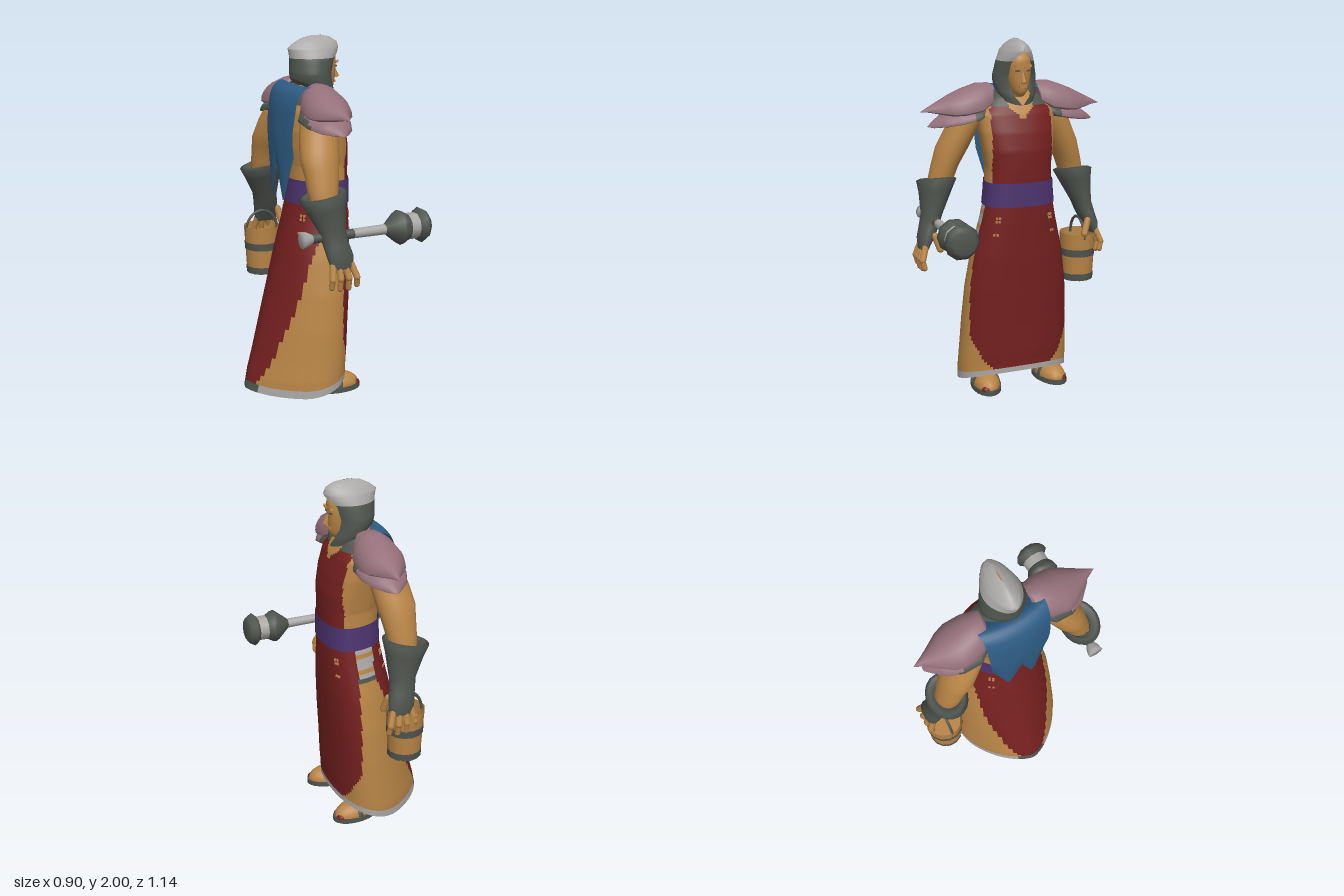
import * as THREE from 'three';

const flat = (name, color) =>
  new THREE.MeshStandardMaterial({ name, color, side: THREE.DoubleSide });

export function createModel() {
  const M = {
    skin: flat('tan', 0xb98546), red: flat('deep red', 0x74201f), dark: flat('dark grey', 0x50554f),
    light: flat('light grey', 0xaaa8a6), purple: flat('purple', 0x4d3470),
    blue: flat('blue', 0x2e5d85), mauve: flat('mauve', 0x94707a),
  };
  const model = new THREE.Group();
  model.name = 'hoodedSmith';

  const add = (parent, name, geo, mat, x = 0, y = 0, z = 0) => {
    const m = new THREE.Mesh(geo, mat);
    m.name = name;
    m.position.set(x, y, z);
    parent.add(m);
    return m;
  };

  const spow = (v, p) => Math.sign(v) * Math.abs(v) ** p;

  // Point on a cross-section [height, front, back, halfWidth, centreZ, openAngle]
  const ringPoint = (s, t, o) => {
    const [y, f, b, w, cz = 0] = s;
    const c = f + (b - f) * (o.mid ?? 0.5);
    const cos = Math.cos(t), p = cos > 0 ? o.pf ?? 1 : o.pb ? o.pb(y) : 1;
    const x = c + spow(cos, p) * (cos > 0 ? f - c : c - b);
    let z = w * spow(Math.sin(t), p);
    if (o.under && z > 0) z *= o.under;
    return [x, y + (o.lift ? o.lift(x, y) : 0), cz + z];
  };
  const sectionAt = (secs, y) => {
    const i = Math.max(1, secs.findIndex(s => s[0] >= y));
    const a = secs[i - 1], b = secs[i], k = (y - a[0]) / (b[0] - a[0]);
    return a.map((v, j) => v + (b[j] - v) * k);
  };

  // Smooth skin over stacked cross-sections; pick(x, y, z) chooses each cell's colour
  const shell = (parent, name, secs, mats, o = {}) => {
    const n = o.n ?? 20, sub = o.sub ?? 1, rows = [];
    secs.forEach((s, i) => {
      if (!i) return rows.push(s);
      for (let k = 1; k <= sub; k++) rows.push(s.map((v, j) => secs[i - 1][j] + (v - secs[i - 1][j]) * k / sub));
    });
    const cols = o.open ? n + 1 : n, pos = [];
    for (const s of rows) for (let j = 0; j < cols; j++) {
      const a = o.open ? s[5] : 0;
      pos.push(...ringPoint(s, a + (j / n) * (2 * Math.PI - 2 * a), o));
    }
    const list = [].concat(mats), faces = list.map(() => []);
    for (let i = 0; i + 1 < rows.length; i++) for (let j = 0; j < n; j++) {
      const k = (j + 1) % cols, a = i * cols + j, b = i * cols + k, c = a + cols, d = b + cols;
      const mean = q => (pos[a * 3 + q] + pos[b * 3 + q] + pos[c * 3 + q] + pos[d * 3 + q]) / 4;
      const m = o.pick ? o.pick(mean(0), mean(1), mean(2), i / sub) : 0;
      faces[m].push(a, c, b, b, c, d);
    }
    const g = new THREE.BufferGeometry();
    g.setAttribute('position', new THREE.Float32BufferAttribute(pos, 3));
    g.setIndex(faces.flat());
    let start = 0;
    faces.forEach((f, m) => { if (f.length) g.addGroup(start, f.length, m); start += f.length; });
    g.computeVertexNormals();
    return add(parent, name, g, list.length > 1 ? list : list[0]);
  };

  const rod = (parent, name, a, b, r, mat) => {
    const A = new THREE.Vector3(...a), B = new THREE.Vector3(...b), d = B.clone().sub(A);
    const m = add(parent, name, new THREE.CapsuleGeometry(r, d.length(), 3, 8), mat);
    m.position.copy(A).add(B).multiplyScalar(0.5);
    m.quaternion.setFromUnitVectors(new THREE.Vector3(0, 1, 0), d.normalize());
  };

  // Robe and torso
  const body = [
    [0.01, 0.12, -0.45, 0.33], [0.1, 0.12, -0.43, 0.33], [0.2, 0.125, -0.4, 0.325],
    [0.4, 0.13, -0.345, 0.315], [0.6, 0.14, -0.29, 0.3], [0.8, 0.15, -0.24, 0.268],
    [1, 0.155, -0.19, 0.218], [1.1, 0.155, -0.17, 0.197], [1.22, 0.155, -0.165, 0.188],
    [1.3, 0.157, -0.17, 0.185], [1.4, 0.155, -0.19, 0.2], [1.5, 0.135, -0.2, 0.215],
    [1.6, 0.1, -0.19, 0.22], [1.68, 0.05, -0.17, 0.15], [1.74, 0, -0.13, 0.06],
  ];
  const hem = (x, y) => 0.1 * Math.max(0, (x + 0.2) / 0.32) ** 1.5 * Math.max(0, 1 - y / 0.3);
  const bodyOpts = {
    n: 96, sub: 8, mid: 0.36, pf: 0.87, lift: hem,
    pb: y => 0.9 + 0.4 * Math.max(0, 1 - y / 1.1),
  };
  const bodyColour = (x, y, z, row) => {
    const az = Math.abs(z);
    if (row < 0.38) return az < 0.1 && x < 0 ? 2 : 3;
    if (y > 1.64 && az > 0.07) return 2;
    if (y > 1.16) {
      if (x > 0 && az < (y - 1.57) * 1.1) return 0;
      const edge = y < 1.38 ? 0.01 : y < 1.55 ? 0.01 + (y - 1.38) * 0.4 : 0.04;
      return x > edge && az < 0.175 ? 1 : 0;
    }
    if (x > 0.03) return y > 0.1 + 0.25 * (az / 0.3) ** 4 ? 1 : 0;
    if (x < -0.08 && az < 0.05 + 0.17 * Math.sqrt(Math.min(1, Math.max(0, y - 0.05) / 0.55))) return 1;
    if (y > 0.91 && x > -0.09) return [2, 3, 0, 3, 3, 0, 3, 2][Math.floor((y - 0.91) / 0.025) % 8];
    return 0;
  };
  shell(model, 'robe', body, [M.skin, M.red, M.dark, M.light], { ...bodyOpts, pick: bodyColour });
  const belt = [1.09, 1.16, 1.225].map(y => {
    const [, f, b, w] = sectionAt(body, y);
    return [y, f + 0.006, b - 0.006, w + 0.006];
  });
  shell(model, 'belt', belt, M.purple, { ...bodyOpts, n: 48, sub: 1 });
  for (const y of [1.03, 1.01, 0.935]) for (const t of [0.7, 0.8, Math.PI - 0.6, Math.PI - 0.7]) for (const s of [-1, 1]) {
    const p = ringPoint(sectionAt(body, y), t * s, bodyOpts);
    add(model, 'button', new THREE.BoxGeometry(0.009, 0.014, 0.012), M.skin, ...p).rotation.y = -t * s;
  }

  // Head and face
  shell(model, 'head', [
    [1.6, 0.02, -0.1, 0.05], [1.69, 0.05, -0.09, 0.05], [1.695, 0.085, -0.08, 0.03], [1.72, 0.1, -0.08, 0.047],
    [1.76, 0.105, -0.08, 0.06], [1.8, 0.108, -0.08, 0.067], [1.85, 0.112, -0.08, 0.07],
    [1.9, 0.11, -0.08, 0.062], [1.95, 0.06, -0.06, 0.03],
  ], M.skin, { sub: 2, pf: 0.85 });
  const nose = add(model, 'nose', new THREE.ConeGeometry(0.02, 0.075, 4), M.skin, 0.112, 1.805, 0);
  nose.rotation.z = 0.25;
  add(model, 'lips', new THREE.BoxGeometry(0.012, 0.012, 0.042), M.skin, 0.103, 1.748, 0);
  for (const s of [-1, 1]) {
    add(model, 'brow', new THREE.BoxGeometry(0.02, 0.012, 0.04), M.skin, 0.104, 1.855, s * 0.028).rotation.x = -s * 0.25;
    add(model, 'eye', new THREE.BoxGeometry(0.008, 0.008, 0.024), M.dark, 0.104, 1.833, s * 0.03);
  }

  // Hood with an open front
  shell(model, 'hood', [
    [1.69, 0.1, -0.13, 0.1, 0, 0.03], [1.72, 0.1, -0.15, 0.115, 0, 0.35], [1.76, 0.085, -0.152, 0.122, 0, 0.55],
    [1.8, 0.08, -0.155, 0.122, 0, 0.6], [1.87, 0.1, -0.155, 0.106, 0, 0.6], [1.905, 0.12, -0.16, 0.092, 0, 0.45],
    [1.935, 0.13, -0.168, 0.078, 0, 0.02], [1.965, 0.12, -0.13, 0.055, 0, 0], [1.99, 0.08, -0.08, 0.025, 0, 0],
    [2, 0.03, -0.03, 0.003, 0, 0],
  ], [M.dark, M.light], {
    n: 32, sub: 3, open: true, pb: () => 1.12,
    lift: (x, y) => -0.45 * x * Math.max(0, 1 - (y - 1.69) / 0.12),
    pick: (x, y) => (y > 1.882 ? 1 : 0),
  });

  // Cape over the back, ending in two ragged tails
  const cape = new THREE.PlaneGeometry(2, 1, 24, 20), cp = cape.attributes.position;
  const fall = new THREE.CatmullRomCurve3([[-0.07, 1.7], [-0.15, 1.745], [-0.215, 1.7], [-0.245, 1.5], [-0.25, 1.3], [-0.24, 1.1]]
    .map(([x, y]) => new THREE.Vector3(x, y, 0)));
  for (let i = 0; i < cp.count; i++) {
    const u = cp.getX(i), v = 0.5 - cp.getY(i), q = fall.getPoint(v);
    const rise = 0.22 * Math.abs(Math.abs(u) - 0.45) / 0.45 * Math.max(0, v - 0.5) * 2;
    cp.setXYZ(i, q.x + 0.03 * u * u, q.y + rise, u * (0.2 - 0.035 * v));
  }
  cape.computeVertexNormals();
  add(model, 'cape', cape, M.blue);

  // Arms, shoulder guards and feet, made once and mirrored
  const makeSide = name => {
    const g = new THREE.Group();
    g.name = name;
    shell(g, 'arm', [
      [1.03, -0.07, -0.18, 0.045, 0.455], [1.2, -0.07, -0.23, 0.07, 0.405], [1.3, -0.05, -0.235, 0.077, 0.375],
      [1.4, -0.03, -0.245, 0.092, 0.333], [1.5, -0.015, -0.225, 0.092, 0.285], [1.58, -0.01, -0.2, 0.1, 0.245],
      [1.66, -0.05, -0.16, 0.07, 0.21],
    ], M.skin, { sub: 2 });
    shell(g, 'gauntlet', [
      [0.84, -0.03, -0.16, 0.025, 0.525], [0.9, -0.025, -0.175, 0.045, 0.51], [0.96, -0.04, -0.185, 0.055, 0.485],
      [1.03, -0.05, -0.2, 0.06, 0.462], [1.15, -0.04, -0.255, 0.092, 0.432], [1.215, -0.03, -0.29, 0.112, 0.42],
      [1.225, -0.05, -0.265, 0.09, 0.42], [1.2, -0.07, -0.23, 0.07, 0.41],
    ], M.dark, { lift: (x, y) => (y > 1.1 ? (x + 0.16) * 0.2 : 0) });
    for (let i = 0; i < 4; i++) {
      const x = -0.15 + i * 0.035;
      rod(g, 'finger', [x, 0.86, 0.525], [x + 0.012 * (i - 1), 0.79, 0.55], 0.019, M.skin);
      rod(g, 'fingertip', [x + 0.012 * (i - 1), 0.79, 0.55], [x + 0.014 * (i - 1), 0.745 - (i % 3 ? 0.012 : 0), 0.54], 0.016, M.skin);
    }
    rod(g, 'thumb', [-0.04, 0.92, 0.47], [-0.025, 0.845, 0.445], 0.02, M.skin);
    // Shoulder guard: pointed upper plate over a lower plate with a dark rim
    const plate = (label, secs, mats, o) => { shell(g, label, secs, mats, o).rotation.x = Math.PI / 2; };
    plate('upperShoulderPlate', [
      [0.13, 0, -0.1, 0.02, -1.73], [0.145, 0.03, -0.16, 0.1, -1.66], [0.21, 0.055, -0.19, 0.135, -1.625],
      [0.3, 0.06, -0.2, 0.12, -1.61], [0.36, 0.04, -0.18, 0.1, -1.605], [0.43, -0.005, -0.13, 0.06, -1.61],
      [0.48, -0.035, -0.09, 0.03, -1.615], [0.53, -0.06, -0.064, 0.003, -1.615],
    ], M.mauve, { under: 0.2, sub: 2, n: 24 });
    plate('lowerShoulderPlate', [
      [0.16, 0.03, -0.17, 0.06, -1.61], [0.22, 0.06, -0.21, 0.07, -1.575], [0.32, 0.055, -0.205, 0.07, -1.555],
      [0.4, 0.02, -0.17, 0.06, -1.54], [0.46, -0.03, -0.11, 0.03, -1.53], [0.49, -0.06, -0.08, 0.003, -1.53],
    ], [M.mauve, M.dark], { under: 0.2, sub: 3, n: 24, pick: (x, y) => (y < 0.27 || x < -0.19 ? 1 : 0) });
    // Sandalled foot
    const foot = new THREE.Group();
    foot.name = 'foot';
    foot.position.set(0.025, 0, 0.2);
    foot.rotation.y = -0.12;
    const ball = new THREE.SphereGeometry(1, 18, 10, 0, Math.PI * 2, 0, Math.PI / 2);
    add(foot, 'sole', new THREE.CylinderGeometry(1, 1, 0.028, 20), M.dark, 0, 0.014, 0).scale.set(0.15, 1, 0.085);
    add(foot, 'instep', ball, M.skin, 0.01, 0.025, 0).scale.set(0.13, 0.075, 0.077);
    add(foot, 'strap', ball, M.dark, 0.01, 0.025, 0).scale.set(0.045, 0.08, 0.082);
    add(foot, 'toeMark', ball, M.red, 0.115, 0.025, 0.02).scale.set(0.025, 0.025, 0.03);
    g.add(foot);
    model.add(g);
    return g;
  };
  makeSide('hammerSide');
  makeSide('bucketSide').scale.z = -1;

  // Hammer lying along x
  const hammer = new THREE.Group();
  hammer.name = 'hammer';
  hammer.position.set(0, 1, 0.46);
  hammer.rotation.z = -Math.PI / 2;
  const turned = (name, pts, mat) =>
    add(hammer, name, new THREE.LatheGeometry(pts.map(p => new THREE.Vector2(...p)), 10), mat);
  turned('pommel', [[0, -0.3], [0.045, -0.3], [0.04, -0.27], [0.024, -0.24]], M.light);
  turned('grip', [[0.024, -0.24], [0.026, 0]], M.dark);
  turned('shaft', [[0.026, 0], [0.028, 0.19]], M.light);
  turned('rearHead', [[0.028, 0.19], [0.045, 0.21], [0.095, 0.27], [0.09, 0.295], [0.072, 0.325]], M.dark);
  turned('headBand', [[0.072, 0.325], [0.072, 0.378]], M.light);
  turned('frontHead', [[0.072, 0.378], [0.098, 0.405], [0.08, 0.435], [0.06, 0.45], [0, 0.45]], M.dark);
  model.add(hammer);

  // Bucket hanging from the other hand
  const bucket = new THREE.Group();
  bucket.name = 'bucket';
  bucket.position.set(-0.15, 0, -0.457);
  const hoop = (name, y0, y1, out, mat) => {
    const r = y => 0.092 + 0.016 * (y - 0.54) / 0.29 + out;
    add(bucket, name, new THREE.CylinderGeometry(r(y1), r(y0), y1 - y0, 14, 1, true), mat, 0, (y0 + y1) / 2, 0);
  };
  hoop('staves', 0.54, 0.83, 0, M.skin);
  hoop('upperBand', 0.69, 0.735, 0.003, M.dark);
  hoop('lowerBand', 0.54, 0.582, 0.003, M.dark);
  for (const y of [0.545, 0.75]) add(bucket, 'base', new THREE.CircleGeometry(0.094, 14), M.skin, 0, y, 0).rotation.x = -Math.PI / 2;
  const handle = add(bucket, 'handle', new THREE.TorusGeometry(0.1, 0.008, 6, 16, Math.PI), M.dark, 0, 0.8, 0);
  handle.scale.y = 1.2;
  model.add(bucket);

  return model;
}
